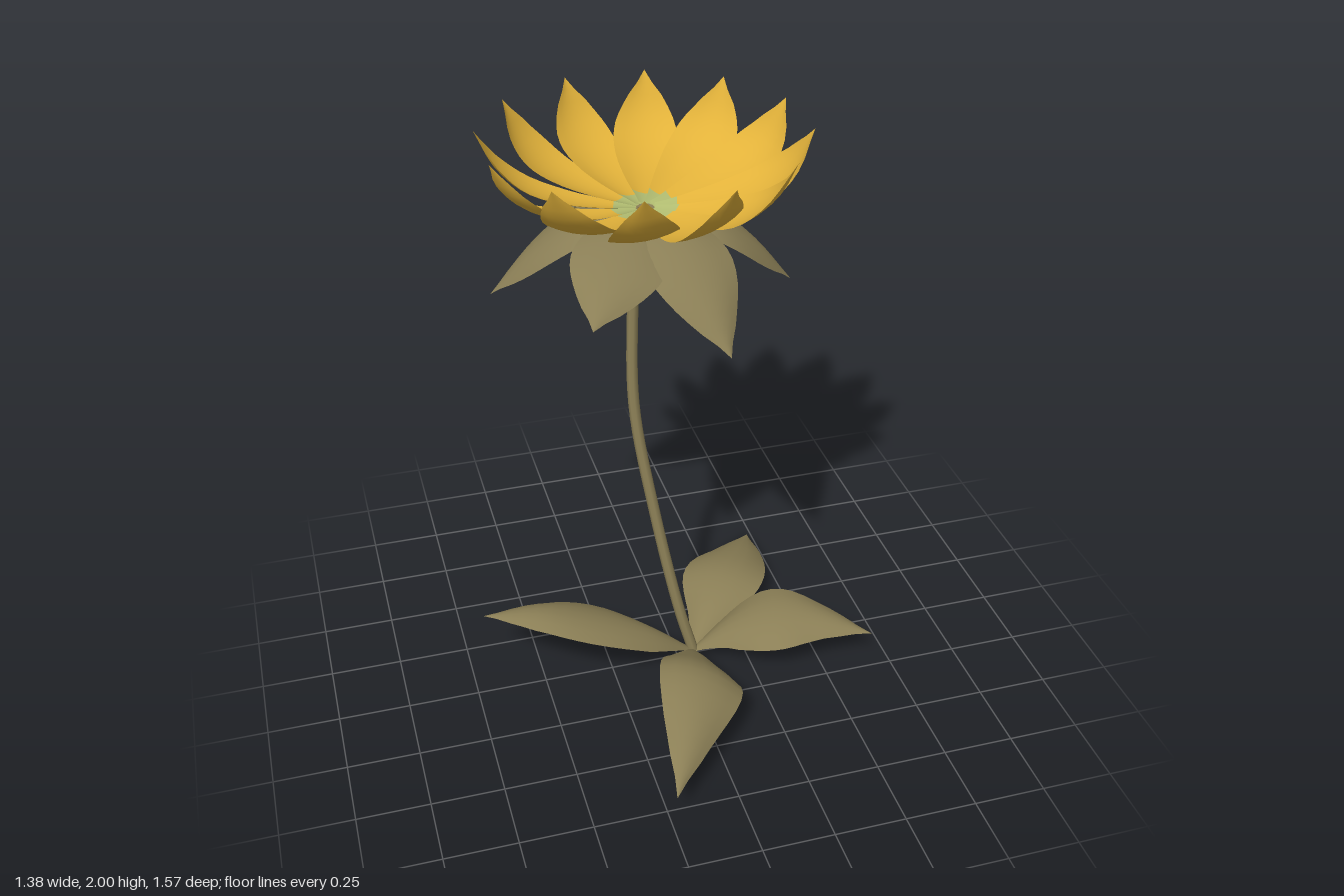
import * as THREE from 'three';

const material = (name, color) => {
  const m = new THREE.MeshStandardMaterial({ color, side: THREE.DoubleSide });
  m.name = name;
  return m;
};

// Curved blade: follows a path, with half-widths at even steps.
// Positive roll lowers its +side edge; positive cup raises both edges.
function bladeGeometry(points, widths, { roll = 0, cup = 0, baseRows = 0 } = {}) {
  const rows = 16, cols = 6;
  const path = new THREE.CatmullRomCurve3(points.map(p => new THREE.Vector3(...p)));
  const profile = new THREE.SplineCurve(widths.map((w, i) => new THREE.Vector2(i, w)));
  const dir = path.getPoint(1).sub(path.getPoint(0)).setY(0).normalize();
  const flatSide = new THREE.Vector3(0, 1, 0).cross(dir);
  const position = [], index = [];
  for (let i = 0; i <= rows; i++) {
    const t = i / rows;
    const centre = path.getPoint(t), tangent = path.getTangent(t);
    const side = flatSide.clone().addScaledVector(tangent, -flatSide.dot(tangent)).normalize()
      .applyAxisAngle(tangent, -roll);
    const normal = tangent.clone().cross(side);
    const w = Math.max(profile.getPoint(t).y, 0);
    for (let j = 0; j <= cols; j++) {
      const v = (j / cols) * 2 - 1;
      const p = centre.clone().addScaledVector(side, v * w)
        .addScaledVector(normal, cup * v * v * Math.min(1, w / 0.1));
      position.push(p.x, p.y, p.z);
    }
  }
  for (let i = 0; i < rows; i++) {
    for (let j = 0; j < cols; j++) {
      const a = i * (cols + 1) + j, b = a + cols + 1;
      index.push(a, b, a + 1, b, b + 1, a + 1);
    }
  }
  const g = new THREE.BufferGeometry();
  g.setAttribute('position', new THREE.Float32BufferAttribute(position, 3));
  g.setIndex(index);
  g.computeVertexNormals();
  const split = baseRows * cols * 6;
  g.addGroup(0, split, 0);
  g.addGroup(split, index.length - split, 1);
  return g;
}

export function createModel() {
  const gold = material('petal gold', 0xe2b23a);
  const pale = material('pale green heart', 0xb0bb70);
  const olive = material('leaf olive', 0x8b7f56);
  const model = new THREE.Group();
  const add = (name, geometry, mat, parent = model) => {
    const mesh = new THREE.Mesh(geometry, mat);
    mesh.name = name;
    parent.add(mesh);
    return mesh;
  };
  const group = (name, x = 0, z = 0) => {
    const g = new THREE.Group();
    g.name = name;
    g.position.set(x, 0, z);
    model.add(g);
    return g;
  };
  const radial = profile => profile.map(([r, y]) => [0, y, r]);

  // Bowl of twelve overlapping almond petals, pale at the base
  const petals = group('petals', -0.042, -0.235);
  const petal = bladeGeometry(
    radial([[0.03, 1.73], [0.15, 1.735], [0.28, 1.755], [0.4, 1.803], [0.485, 1.88], [0.545, 2.0]]),
    [0.022, 0.05, 0.08, 0.103, 0.112, 0.102, 0.065, 0], { roll: -0.17, cup: 0.018, baseRows: 2 });
  for (let i = 0; i < 12; i++) {
    add('petal', petal, [pale, gold], petals).rotation.y = THREE.MathUtils.degToRad(15 + 30 * i);
  }

  // Six drooping sepals: four steep, two flatter and tilted
  const sepals = group('sepals', -0.042, -0.235);
  const sepalWidths = [0.02, 0.08, 0.125, 0.15, 0.152, 0.124, 0.07, 0];
  const steep = bladeGeometry(
    radial([[0.005, 1.72], [0.14, 1.725], [0.28, 1.68], [0.42, 1.58], [0.55, 1.435]]),
    sepalWidths, { cup: -0.03 });
  const flat = bladeGeometry(
    radial([[0.005, 1.72], [0.14, 1.725], [0.28, 1.698], [0.42, 1.65], [0.58, 1.575]]),
    sepalWidths, { roll: 0.16, cup: -0.03 });
  for (const [angle, geometry, length] of [
    [14, steep, 1], [82, steep, 0.9], [153, flat, 1.02],
    [194, steep, 1.03], [259, steep, 0.95], [329, flat, 1],
  ]) {
    const sepal = add('sepal', geometry, olive, sepals);
    sepal.rotation.y = THREE.MathUtils.degToRad(angle);
    sepal.scale.z = length;
  }

  // Leaning stem with a flat tip
  const stemPath = new THREE.CatmullRomCurve3([
    [0.06, 0.02, 0], [0.015, 0.2, -0.03], [-0.055, 0.6, -0.105], [-0.105, 1.0, -0.175],
    [-0.1, 1.3, -0.207], [-0.075, 1.6, -0.222], [-0.048, 1.73, -0.232],
  ].map(p => new THREE.Vector3(...p)));
  add('stem', new THREE.TubeGeometry(stemPath, 32, 0.02, 8), olive);
  const tip = add('stemTip', new THREE.CylinderGeometry(0.02, 0.02, 0.014, 8), olive);
  tip.position.copy(stemPath.getPoint(1));

  // Four broad leaves spreading from the foot of the stem
  const leaves = group('groundLeaves');
  const leafWidths = [0.012, 0.06, 0.115, 0.15, 0.15, 0.115, 0.062, 0];
  const foot = [0.06, 0.02, 0];
  const leafPaths = [
    ['frontLeaf', [foot, [0.035, 0.14, 0.18], [0, 0.22, 0.35], [-0.095, 0.195, 0.55], [-0.225, 0.09, 0.785]], 0.33],
    ['rightLeaf', [foot, [-0.1, 0.14, -0.01], [-0.3, 0.22, -0.05], [-0.5, 0.252, -0.11], [-0.69, 0.22, -0.16]], -0.2],
    ['leftLeaf', [foot, [0.2, 0.12, 0.02], [0.35, 0.175, 0.06], [0.5, 0.17, 0.11], [0.69, 0.11, 0.2]], -0.14],
    ['backLeaf', [foot, [0.17, 0.11, -0.14], [0.27, 0.14, -0.29], [0.39, 0.09, -0.47], [0.485, 0.003, -0.65]], 0],
  ];
  for (const [name, points, roll] of leafPaths) {
    add(name, bladeGeometry(points, leafWidths, { roll, cup: -0.035 }), olive, leaves);
  }
  return model;
}
